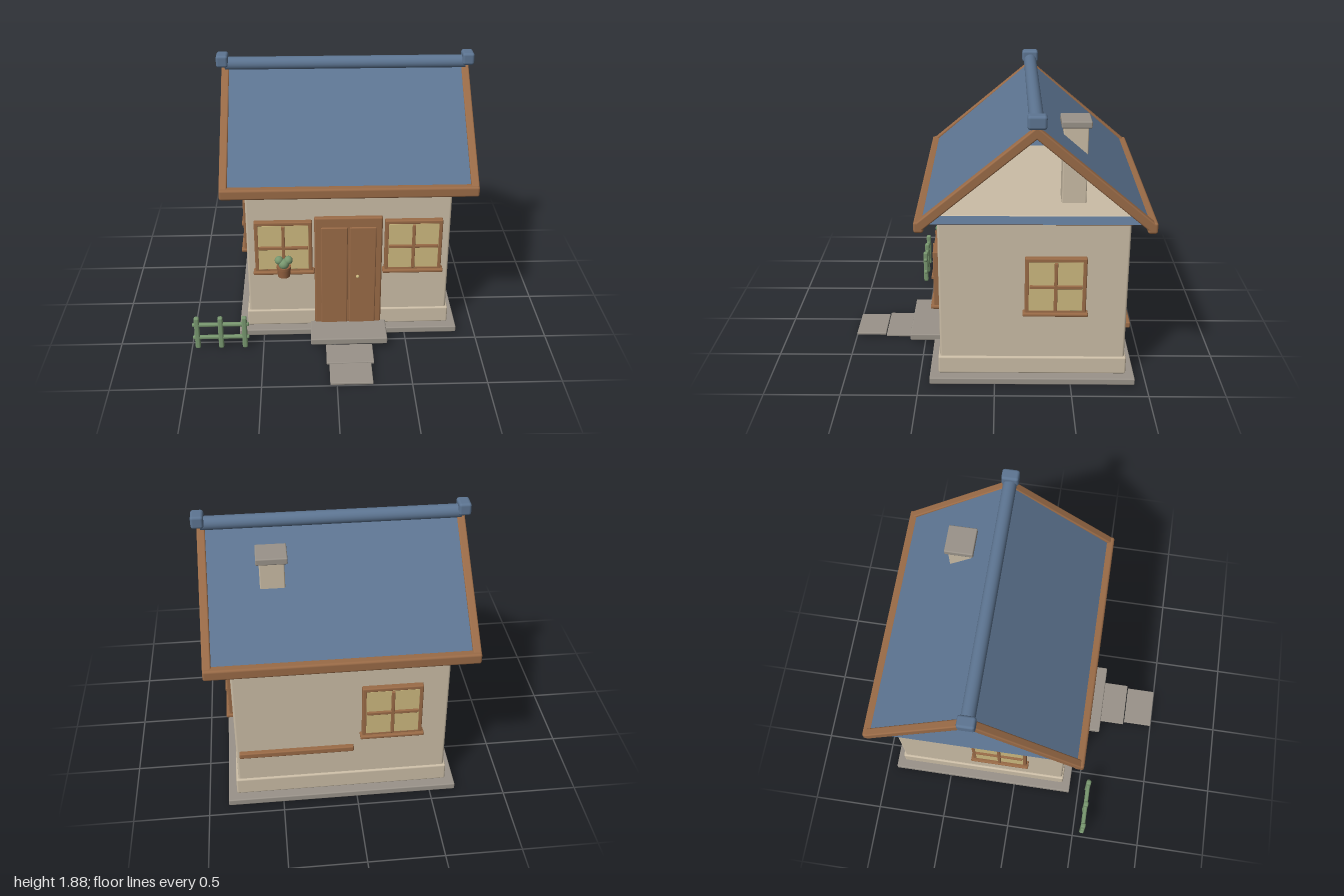
import * as THREE from 'three';
import { RoundedBoxGeometry } from 'three/addons/geometries/RoundedBoxGeometry.js';

const paint = (name, color) => {
  const m = new THREE.MeshStandardMaterial({ color });
  m.name = name;
  return m;
};

export function createModel() {
  const wall = paint('wall plaster', 0xcbbda6);
  const wood = paint('wood', 0x9a6b47);
  const roofBlue = paint('roof blue', 0x5d7592);
  const stone = paint('stone', 0x9a938a);
  const glass = paint('window glass', 0xcdb97f);
  const green = paint('leaf green', 0x78976f);
  const clay = paint('clay', 0x91603f);
  const sheet = roofBlue;
  sheet.side = THREE.DoubleSide;

  const house = new THREE.Group();
  house.name = 'cottage';

  const add = (parent, name, geometry, material, x = 0, y = 0, z = 0) => {
    const mesh = new THREE.Mesh(geometry, material);
    mesh.name = name;
    mesh.position.set(x, y, z);
    parent.add(mesh);
    return mesh;
  };
  // Softly rounded box given by its limits on each axis
  const box = (parent, name, material, [x0, x1], [y0, y1], [z0, z1], r = 0.008) => {
    const w = x1 - x0, h = y1 - y0, d = z1 - z0;
    const radius = Math.min(r, Math.min(w, h, d) * 0.45);
    return add(parent, name, new RoundedBoxGeometry(w, h, d, 2, radius), material,
      (x0 + x1) / 2, (y0 + y1) / 2, (z0 + z1) / 2);
  };
  const group = (name) => {
    const g = new THREE.Group();
    g.name = name;
    house.add(g);
    return g;
  };

  // Walls and base
  box(house, 'foundation', stone, [-0.675, 0.87], [0, 0.047], [-0.925, 0.43]);
  box(house, 'plinth', wall, [-0.615, 0.812], [0.05, 0.175], [-0.868, 0.372], 0.012);
  box(house, 'walls', wall, [-0.6, 0.796], [0.045, 1.178], [-0.855, 0.36], 0.015);
  box(house, 'wallTopTrim', wood, [-0.615, 0.812], [1.12, 1.171], [-0.868, 0.374], 0.01);
  box(house, 'backRail', wood, [0.02, 0.775], [0.377, 0.418], [-0.885, -0.845]);

  // Roof: two slopes and a soffit, open at the gable ends
  const roof = group('roof');
  const midX = 0.097, ridgeZ = -0.25, apexY = 1.795, eaveY = 1.174, half = 0.72;
  const run = Math.hypot(half, apexY - eaveY);
  for (const s of [1, -1]) {
    const slope = add(roof, 'roofSlope', new THREE.PlaneGeometry(1.65, run), sheet,
      midX, (apexY + eaveY) / 2, ridgeZ + s * half / 2);
    slope.rotation.order = 'YXZ';
    slope.rotation.y = s > 0 ? 0 : Math.PI;
    slope.rotation.x = -Math.atan2(half, apexY - eaveY);

    // Eave board along the lower edge
    const z = ridgeZ + s * 0.712;
    box(roof, 'eaveBoard', wood, [-0.758, 0.952], [1.125, 1.198], [z - 0.031, z + 0.031], 0.015);

    // Sloping boards at both gable ends
    for (const x of [-0.731, 0.925]) {
      const length = Math.hypot(0.715, 0.6) + 0.03;
      const rake = add(roof, 'gableBoard', new RoundedBoxGeometry(0.054, 0.06, length, 2, 0.01), wood,
        x, 1.466, ridgeZ + s * 0.352);
      rake.rotation.x = s * Math.atan2(0.6, 0.715);
    }
  }
  const soffit = add(roof, 'soffit', new THREE.PlaneGeometry(1.65, 2 * half), sheet, midX, 1.174, ridgeZ);
  soffit.rotation.x = Math.PI / 2;
  const ridge = add(roof, 'ridge', new THREE.CylinderGeometry(0.046, 0.046, 1.66, 20), roofBlue, midX, 1.803, ridgeZ);
  ridge.rotation.z = Math.PI / 2;
  for (const x of [-0.751, 0.944]) {
    box(roof, 'ridgeCap', roofBlue, [x - 0.041, x + 0.041], [1.79, 1.875], [ridgeZ - 0.058, ridgeZ + 0.058], 0.018);
  }

  // Chimney
  box(house, 'chimney', wall, [0.42, 0.577], [1.15, 1.69], [-0.587, -0.43]);
  box(house, 'chimneyCap', stone, [0.4, 0.597], [1.682, 1.726], [-0.606, -0.415]);

  // Window facing local +z with the wall plane at z = 0
  const addWindow = (name, x, z, angle) => {
    const g = group(name);
    g.position.set(x, 0.705, z);
    g.rotation.y = angle;
    const o = 0.197, i = 0.168;
    for (const s of [-1, 1]) {
      const edge = [Math.min(s * o, s * i), Math.max(s * o, s * i)];
      box(g, 'frameSide', wood, edge, [-o, o], [-0.01, 0.036]);
      box(g, 'frameRail', wood, [-o, o], edge, [-0.01, 0.036]);
    }
    box(g, 'pane', glass, [-i - 0.004, i + 0.004], [-i - 0.004, i + 0.004], [0.028, 0.035], 0.002);
    box(g, 'verticalBar', wood, [-0.011, 0.011], [-i, i], [0.02, 0.049], 0.004);
    box(g, 'crossBar', wood, [-i, i], [-0.011, 0.011], [0.02, 0.049], 0.004);
    box(g, 'sill', wood, [-0.21, 0.21], [-0.207, -0.183], [-0.01, 0.056]);
  };
  addWindow('frontRightWindow', -0.348, 0.36, 0);
  addWindow('frontLeftWindow', 0.543, 0.36, 0);
  addWindow('leftWindow', 0.796, -0.39, Math.PI / 2);
  addWindow('rightWindow', -0.6, -0.105, -Math.PI / 2);
  addWindow('backWindow', -0.23, -0.855, Math.PI);

  // Double door
  const door = group('door');
  box(door, 'doorFrame', wood, [-0.136, 0.33], [0.06, 0.927], [0.34, 0.39], 0.012);
  box(door, 'doorLeaf', wood, [-0.092, 0.092], [0.07, 0.855], [0.36, 0.398]);
  box(door, 'doorLeaf', wood, [0.104, 0.288], [0.07, 0.855], [0.36, 0.398]);
  add(door, 'doorKnob', new THREE.SphereGeometry(0.012, 16, 12), glass, 0.162, 0.47, 0.407);

  // Step and path
  box(house, 'doorStep', stone, [-0.168, 0.364], [0.035, 0.083], [0.375, 0.602]);
  box(house, 'pathSlab', stone, [-0.064, 0.26], [0.004, 0.022], [0.58, 0.785], 0.005);
  box(house, 'pathSlab', stone, [-0.046, 0.24], [0.004, 0.022], [0.79, 1.0], 0.005);

  // Flower pot on the window sill
  const plant = group('pottedPlant');
  plant.position.set(-0.348, 0, 0.415);
  add(plant, 'pot', new THREE.CylinderGeometry(0.047, 0.042, 0.072, 20), clay, 0, 0.53, 0);
  add(plant, 'potRim', new THREE.CylinderGeometry(0.05, 0.05, 0.018, 20), clay, 0, 0.562, 0);
  for (const [x, y, z, r] of [[0, 0.592, 0.008, 0.037], [-0.032, 0.618, 0, 0.03], [0.032, 0.618, 0, 0.03]]) {
    add(plant, 'leaves', new THREE.SphereGeometry(r, 16, 12), green, x, y, z);
  }

  // Garden fence
  const fence = group('fence');
  for (const x of [-0.956, -0.793, -0.628]) {
    box(fence, 'fencePost', green, [x - 0.018, x + 0.018], [0.008, 0.262], [0.549, 0.585], 0.012);
  }
  for (const y of [0.096, 0.2]) {
    box(fence, 'fenceRail', green, [-0.988, -0.595], [y - 0.014, y + 0.014], [0.553, 0.581], 0.011);
  }

  return house;
}
